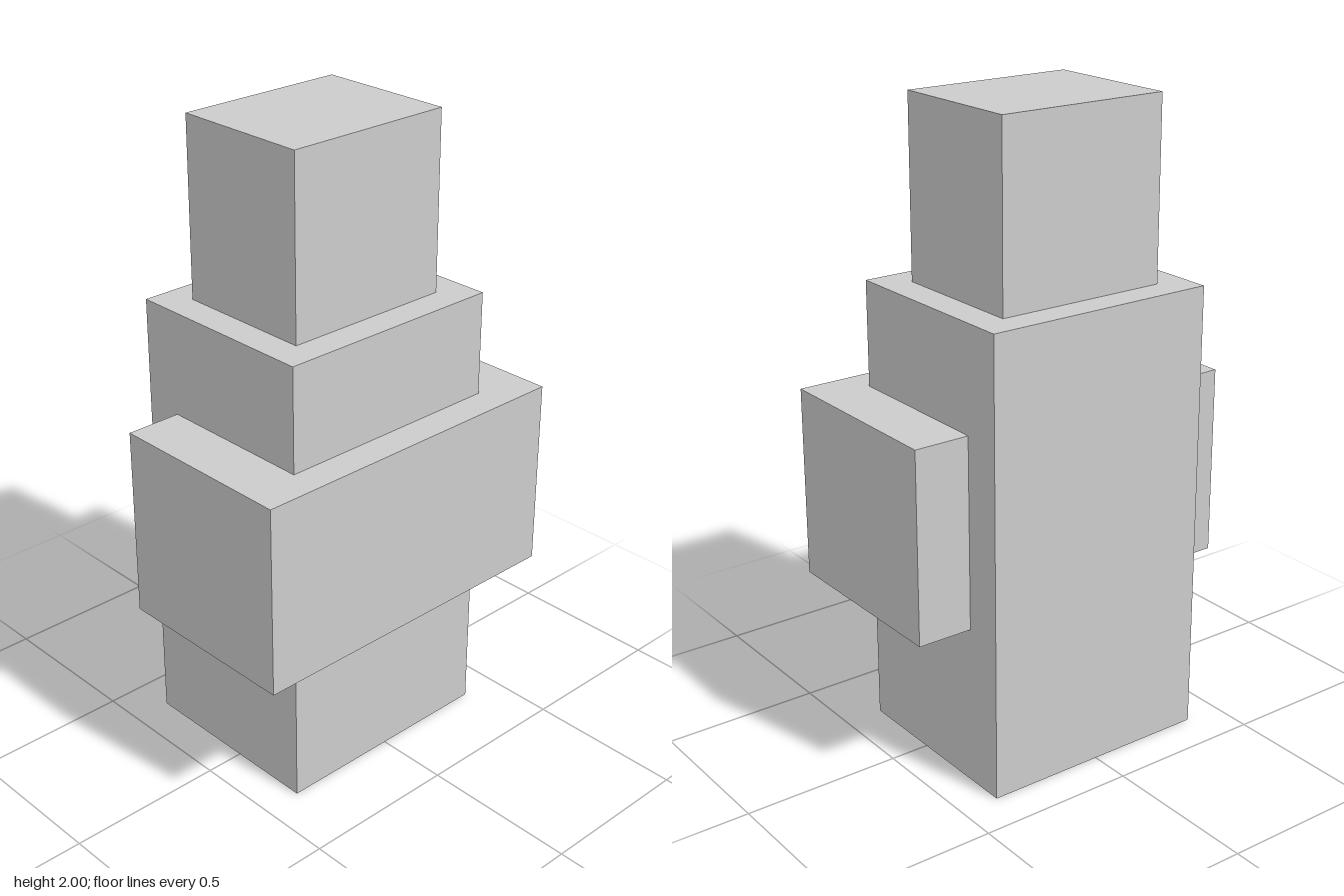
import * as THREE from 'three';

const material = new THREE.MeshStandardMaterial({ color: 0xcccccc, flatShading: true });

// Box given by its lower and upper corners
function block(name, [x0, y0, z0], [x1, y1, z1]) {
  const mesh = new THREE.Mesh(new THREE.BoxGeometry(x1 - x0, y1 - y0, z1 - z0), material);
  mesh.position.set((x0 + x1) / 2, (y0 + y1) / 2, (z0 + z1) / 2);
  mesh.name = name;
  return mesh;
}

export function createModel() {
  const group = new THREE.Group();
  group.name = 'blockFigure';
  group.add(
    // tall torso standing on the ground
    block('body', [-0.378, 0, -0.37], [0.376, 1.44, 0.268]),
    // wide block of folded arms, set forward and passing through the torso
    block('foldedArms', [-0.555, 0.506, -0.245], [0.553, 1.11, 0.37]),
    // head on top of the torso
    block('head', [-0.28, 1.44, -0.276], [0.277, 2, 0.173])
  );
  return group;
}
